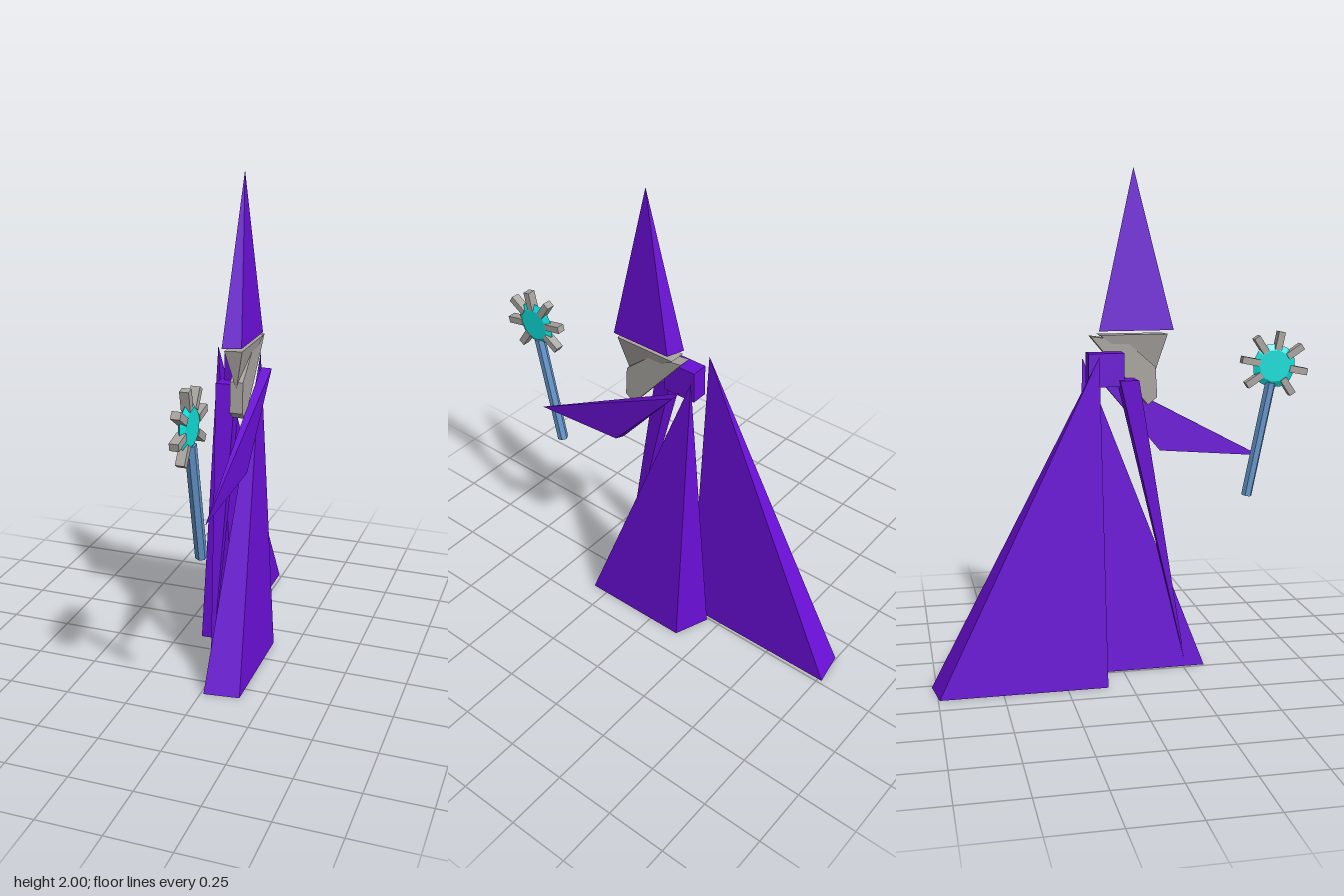
import * as THREE from 'three';
import { ConvexGeometry } from 'three/addons/geometries/ConvexGeometry.js';

const mat = (color) => new THREE.MeshStandardMaterial({ color, flatShading: true, side: THREE.DoubleSide });

export function createModel() {
  const model = new THREE.Group();
  const purple = mat(0x6a0fd6), grey = mat(0xaaa6a2), blue = mat(0x6696cc), cyan = mat(0x10e0dc);

  const add = (name, geometry, material, parent = model) => {
    const mesh = new THREE.Mesh(geometry, material);
    mesh.name = name;
    parent.add(mesh);
    return mesh;
  };
  // Convex faceted solid from a few corners
  const hull = (name, points, material) =>
    add(name, new ConvexGeometry(points.map((p) => new THREE.Vector3(...p))), material);
  // Pyramid from a level base of [x, z] corners to an apex
  const pyramid = (name, y, corners, apex, material) =>
    hull(name, [...corners.map(([x, z]) => [x, y, z]), apex], material);

  // Pointed hat and the face wedge under it
  pyramid('hat', 1.375, [[0.045, -0.088], [0.115, -0.065], [0.115, 0.19], [0.045, 0.21]],
    [0.08, 2, 0.055], purple);
  pyramid('face', 1.36, [[0.047, -0.085], [0.112, -0.085], [0.112, 0.175], [0.047, 0.187]],
    [0.078, 1.2, 0.14], grey);

  // Beard: bent slab running from behind the head to the chin
  const profile = new THREE.Shape([
    [-0.12, 1.355], [0.02, 1.335], [0.14, 1.23], [0.147, 1.11], [0.11, 1.08],
  ].map((p) => new THREE.Vector2(...p)));
  const beard = new THREE.ExtrudeGeometry(profile, { depth: 0.05, bevelEnabled: false });
  beard.rotateY(-Math.PI / 2).translate(0.104, 0, 0);
  add('beard', beard, grey);

  // Shoulder block and tapering torso
  add('shoulders', new THREE.BoxGeometry(0.068, 0.13, 0.14).translate(0.016, 1.23, -0.07), purple);
  pyramid('torso', 1.19, [[-0.035, -0.02], [0.045, -0.02], [0.045, 0.05], [-0.035, 0.055]],
    [0.014, 0, 0.262], purple);

  // Robe halves
  pyramid('frontRobe', 0, [[0.008, -0.195], [0.152, -0.14], [0.155, 0.32], [0.012, 0.338]],
    [0.08, 1.27, -0.148], purple);
  pyramid('backRobe', 0, [[-0.155, -0.745], [-0.015, -0.768], [-0.01, -0.095], [-0.155, -0.092]],
    [-0.083, 1.29, -0.11], purple);

  // Sleeve reaching forward to a point
  hull('sleeve', [
    [0.095, 1.22, -0.11], [0.138, 1.22, -0.11],
    [0.1, 0.885, 0.17], [0.135, 0.89, 0.18],
    [0.12, 0.845, 0.595],
  ], purple);

  // Staff, built upright around the orb centre and tilted forward
  const staff = new THREE.Group();
  staff.name = 'staff';
  staff.position.set(0.08, 1.22, 0.637);
  staff.rotation.x = 0.2;
  model.add(staff);
  add('staffPole', new THREE.CylinderGeometry(0.022, 0.022, 0.47, 6).translate(0, -0.305, 0), blue, staff);
  add('staffTip', new THREE.CylinderGeometry(0.02, 0.02, 0.004, 6).translate(0, -0.541, 0), cyan, staff);

  // Faceted orb disc with bevelled sides
  for (const side of [-1, 1]) {
    const half = new THREE.CylinderGeometry(0.065, 0.09, 0.014, 12).translate(0, 0.007, 0);
    add('orb', half.rotateZ(side * Math.PI / 2), cyan, staff);
  }

  // Rays around the orb, leaving out the one where the pole sits
  for (let i = 0; i < 8; i++) {
    if (i === 4) continue;
    const ray = new THREE.BoxGeometry(0.034, 0.075, 0.028).translate(0, 0.102, 0);
    add('ray', ray.rotateX(i * Math.PI / 4), grey, staff);
  }
  return model;
}
